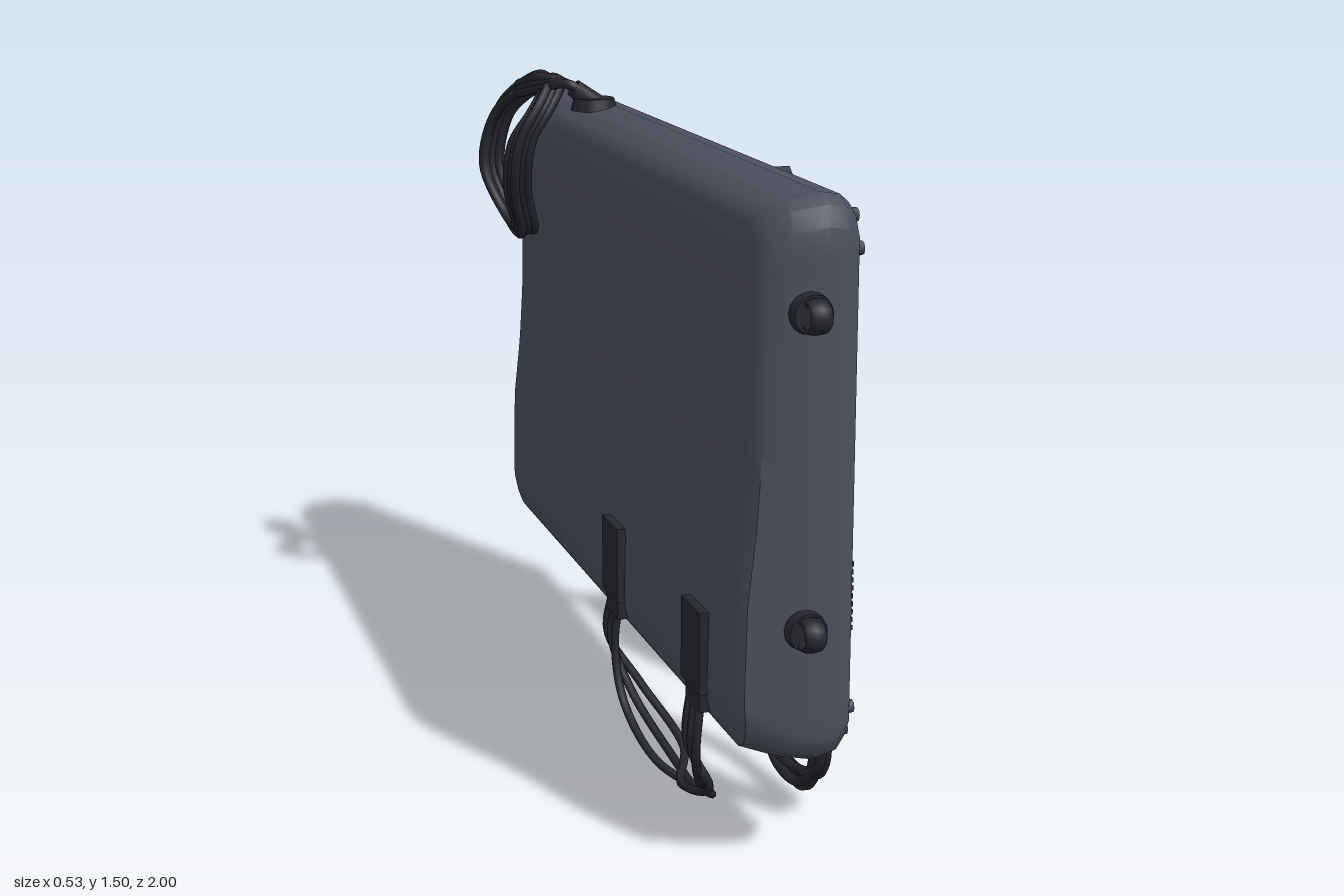
import * as THREE from 'three';
import { toCreasedNormals } from 'three/addons/utils/BufferGeometryUtils.js';

const mat = (name, color, side = THREE.FrontSide) => {
  const m = new THREE.MeshStandardMaterial({ color, side });
  m.name = name;
  return m;
};

export function createModel() {
  const slate = mat('slate casing', 0x4c4f5c), plateGrey = mat('dark slate', 0x41434f);
  const black = mat('black rubber', 0x25262d), teal = mat('teal glass', 0x6ec9d0);
  const cream = mat('cream glass', 0xccc6ba), red = mat('red button', 0xb04a4e);

  // Everything is authored facing +z (u right, y up, d forward), then turned to face +x.
  const wall = new THREE.Group();
  wall.name = 'screenWall';
  wall.rotation.y = Math.PI / 2;

  const add = (name, geo, material, u = 0, y = 0, d = 0, parent = wall) => {
    const m = new THREE.Mesh(geo, material);
    m.name = name;
    m.position.set(u, y, d);
    parent.add(m);
    return m;
  };
  const box = (name, w, h, t, material, u, y, d, tilt = 0) => {
    const m = add(name, new THREE.BoxGeometry(w, h, t), material, u, y, d);
    m.rotation.z = tilt;
    return m;
  };
  const knob = (name, r, t, material, u, y, d, sides = 16) => {
    const m = add(name, new THREE.CylinderGeometry(r * 0.88, r, t, sides), material, u, y, d);
    m.rotation.x = Math.PI / 2;
    return m;
  };
  const tube = (name, pts, r, closed = false) => {
    const curve = new THREE.CatmullRomCurve3(pts.map(p => new THREE.Vector3(...p)), closed);
    return add(name, new THREE.TubeGeometry(curve, 56, r, 7, closed), black);
  };

  // Casing: rounded outline rings lofted from the recessed front plate to the bulging back
  const W = 0.94, Y0 = 0.247, Y1 = 1.422;
  const backProfile = [[0.2, -0.15], [0.38, -0.168], [0.6, -0.163], [0.75, -0.146], [0.9, -0.136], [1.2, -0.131], [1.5, -0.117]];
  const backAt = y => {
    const i = Math.max(1, backProfile.findIndex(p => p[0] >= y));
    const [a, b] = [backProfile[i - 1], backProfile[i]];
    return a[1] + (b[1] - a[1]) * (y - a[0]) / (b[0] - a[0]);
  };
  const rows = 24;
  const ring = (inset, depth) => {
    const h = Y1 - Y0 - 2 * inset, side = [];
    for (let j = 0; j < rows; j++) {
      const k = Math.min(j, rows - 1 - j);
      const edge = [0, 0.02, 0.06][k];
      const s = edge !== undefined ? (j < 3 ? edge : h - edge) : 0.06 + (h - 0.12) * (j - 2) / (rows - 5);
      const y = Y0 + inset + s, w = W - inset - ([0.06, 0.022, 0][k] ?? 0);
      side.push([w, y, typeof depth === 'function' ? depth(y) : depth]);
    }
    return [...side, ...side.map(p => [-p[0], p[1], p[2]]).reverse()];
  };
  const rings = [
    ring(0.075, 0.05), ring(0.062, 0.082), ring(0.028, 0.082), ring(0.008, 0.055), ring(0, 0.01),
    ring(0.012, -0.06), ring(0.035, y => backAt(y) + 0.025), ring(0.065, y => backAt(y) + 0.006), ring(0.12, backAt),
  ];
  const M = rows * 2, index = [], last = (rings.length - 1) * M;
  for (let k = 0; k < rings.length - 1; k++) for (let i = 0; i < M; i++) {
    const a = k * M + i, b = k * M + (i + 1) % M;
    index.push(a, a + M, b, b, a + M, b + M);
  }
  for (let j = 0; j < rows - 1; j++) {
    const L = M - 1 - j;
    index.push(L, j, j + 1, L, j + 1, L - 1);
    index.push(last + L, last + j + 1, last + j, last + L, last + L - 1, last + j + 1);
  }
  const shell = new THREE.BufferGeometry();
  shell.setAttribute('position', new THREE.Float32BufferAttribute(rings.flat(2), 3));
  shell.setIndex(index);
  add('casing', toCreasedNormals(shell, 0.6), slate);

  // Ten screens in rounded, bevelled frames
  const roundRect = (target, w, h, r) => {
    const x = w / 2, y = h / 2, q = Math.PI / 2;
    target.absarc(x - r, y - r, r, 0, q);
    target.absarc(-x + r, y - r, r, q, 2 * q);
    target.absarc(-x + r, -y + r, r, 2 * q, 3 * q);
    target.absarc(x - r, -y + r, r, 3 * q, 4 * q);
    target.closePath();
    return target;
  };
  const frameShape = roundRect(new THREE.Shape(), 0.274, 0.3, 0.025);
  frameShape.holes.push(roundRect(new THREE.Path(), 0.256, 0.28, 0.018));
  const frameGeo = new THREE.ExtrudeGeometry(frameShape, {
    depth: 0.05, bevelThickness: 0.01, bevelSize: 0.008, bevelSegments: 2, curveSegments: 4,
  });
  const creams = ['2,0', '0,1', '3,1'];
  for (let r = 0; r < 2; r++) for (let c = 0; c < 5; c++) {
    const u = (c - 2) * 0.3235, y = r ? 0.702 : 1.092;
    add('screenFrame', frameGeo, plateGrey, u, y, 0.045);
    box('screen', 0.25, 0.274, 0.008, creams.includes(`${c},${r}`) ? cream : teal, u, y, 0.088);
    box('screenBacking', 0.27, 0.29, 0.04, plateGrey, u, y, 0.062);
  }

  // Clips and struts between the screens
  for (let c = 0; c < 5; c++) {
    const u = (c - 2) * 0.3235, big = c === 2;
    box('joiner', 0.075, 0.075, 0.03, plateGrey, u, 0.897, 0.06);
    box('joinerClip', big ? 0.055 : 0.025, big ? 0.045 : 0.025, 0.02, black, u, 0.897, 0.08);
    if (c < 4) for (const y of [1.11, 0.7]) box('sideJoiner', 0.035, 0.03, 0.025, black, u + 0.162, y, 0.06);
    box('strut', 0.03, 0.05, 0.02, plateGrey, u, 1.27, 0.055);
    box('lowerClip', 0.03, 0.03, 0.03, black, u, 0.53, 0.065);
  }

  // Raised trims, panel seams and ribs on the front plate
  for (const s of [-1, 1]) {
    box('sideTrim', 0.014, 0.62, 0.02, plateGrey, s * 0.835, 0.9, 0.055);
    box('cornerTrim', 0.014, 0.17, 0.02, plateGrey, s * 0.81, 1.2, 0.055);
    box('upperTrim', 0.55, 0.014, 0.02, plateGrey, s * 0.52, 1.31, 0.055);
    box('lowerTrim', 0.62, 0.02, 0.025, plateGrey, s * 0.45, 0.385, 0.057);
    box('footTrim', 0.6, 0.012, 0.02, plateGrey, s * 0.48, 0.35, 0.055);
    box('diagonalTrim', 0.17, 0.014, 0.02, plateGrey, s * 0.79, 0.43, 0.055, s * 0.8);
    box('seam', 0.008, 0.15, 0.012, black, s * 0.2, 0.465, 0.052);
    box('seam', 0.16, 0.01, 0.012, black, s * 0.7, 1.335, 0.052);
    box('latch', 0.075, 0.024, 0.035, black, s * 0.505, 1.375, 0.085, s < 0 ? 0.7 : 0.2);
    box('plateHook', 0.03, 0.03, 0.03, black, s * 0.325, 1.28, 0.06);
    for (let i = 0; i < 9; i++) box('sideVent', 0.028, 0.01, 0.022, black, s * 0.882, 0.53 + i * 0.017, 0.081);
    for (let i = 0; i < 3; i++) box('vent', 0.07 - i * 0.015, 0.008, 0.014, black, s * 0.8, 0.99 + i * 0.025, 0.053);
    for (const y of [0.3, 0.36, 1.31, 1.37]) knob('rimBolt', 0.016, 0.02, plateGrey, s * (y < 0.32 || y > 1.35 ? 0.865 : 0.895), y, 0.085, 8);
    for (const u of [0.12, 0.25, 0.7]) for (const y of [0.272, 1.372]) knob('rimScrew', 0.011, 0.016, black, s * u, y, 0.085, 8);
    for (const y of [0.32, 1.25]) knob('plateScrew', 0.012, 0.02, black, s * 0.81, y, 0.055, 8);
  }

  // Strap loops on both ends
  for (const s of [-1, 1]) for (const y of [0.552, 1.197]) {
    const base = add('loopBase', new THREE.CylinderGeometry(0.04, 0.044, 0.025, 16), black, s * 0.94, y, -0.025);
    base.rotation.z = -s * Math.PI / 2;
    add('strapLoop', new THREE.TorusGeometry(0.027, 0.009, 8, 20), black, s * 0.964, y, -0.025).scale.z = 2.6;
  }

  // Coiled cable hung over the top edge, with its plug
  add('coilSocket', new THREE.CylinderGeometry(0.05, 0.058, 0.03, 18), black, 0.5, 1.425, -0.035);
  const plug = add('coilPlug', new THREE.CylinderGeometry(0.022, 0.028, 0.07, 12), black, 0.5, 1.445, -0.06);
  plug.rotation.x = -0.9;
  const coil = [[0.51, 1.42, -0.165], [0.56, 1.475, -0.125], [0.65, 1.475, -0.14], [0.77, 1.39, -0.2], [0.8, 1.24, -0.228],
    [0.73, 1.1, -0.185], [0.62, 1.095, -0.185], [0.54, 1.22, -0.222], [0.505, 1.34, -0.215]];
  for (let i = 0; i < 7; i++) {
    const k = 0.86 + 0.045 * (i % 4), off = ((i * 3) % 7 - 3) * 0.008;
    tube('coilStrand', coil.map(([u, y, d]) => [0.65 + (u - 0.65) * k, 1.28 + (y - 1.28) * (k + 0.04), d + off]), 0.012, true);
  }
  for (const i of [-1, 0, 1]) {
    tube('coilLead', [[0.5 + i * 0.012, 1.44, -0.045], [0.51 + i * 0.014, 1.475, -0.1], [0.56, 1.475 + i * 0.012, -0.15], [0.66, 1.45 + i * 0.012, -0.185]], 0.012);
  }

  // Cable bundle hanging between two lower screens
  for (let i = 0; i < 4; i++) {
    const o = (i - 1.5) * 0.022, drop = i * 0.016, d = 0.095 + (i % 2) * 0.02;
    tube('frontCable', [[-0.66 + o, 0.56, d - 0.01], [-0.663 + o, 0.4, d], [-0.685 + o, 0.25, d + 0.008], [-0.66 + o, 0.135 - drop, d + 0.012],
      [-0.57, 0.085 - drop, d + 0.005], [-0.44 - o, 0.1 - drop, d], [-0.36 - o, 0.2, d + 0.01], [-0.325 - o, 0.38, d], [-0.325 - o, 0.56, d - 0.01]], 0.012);
  }
  for (const u of [-0.66, -0.325, 0.64]) box('cablePlug', 0.09, 0.035, 0.04, black, u, 0.535, 0.085);
  // Controller lead
  for (let i = 0; i < 3; i++) {
    const u = 0.62 + i * 0.022;
    tube('controllerCable', [[u, 0.55, 0.09], [u, 0.42, 0.1], [u, 0.3, 0.115], [u - 0.05, 0.2, 0.15]], 0.011);
  }

  // Back sockets and the cables slung beneath the casing
  for (const u of [-0.69, -0.11]) {
    box('backSocket', 0.12, 0.18, 0.04, black, u, 0.45, -0.165);
    box('socketCollar', 0.09, 0.06, 0.035, black, u, 0.345, -0.162);
  }
  for (let i = 0; i < 3; i++) {
    const o = (i - 1) * 0.03, bottom = 0.014 + i * 0.018;
    tube('backCable', [[-0.1 + o, 0.36, -0.165], [-0.085 + o, 0.25, -0.175], [-0.16, 0.12 + i * 0.02, -0.17 + i * 0.02], [-0.33, bottom + 0.015, -0.14 + i * 0.03],
      [-0.5, bottom, -0.07 - i * 0.035], [-0.63 - o, 0.09 + i * 0.01, -0.13], [-0.68 + o, 0.22, -0.178], [-0.68 + o, 0.36, -0.165]], 0.01);
  }

  // Game controller: smooth two-grip body with sticks, pad and buttons
  const pad = new THREE.Group();
  pad.name = 'controller';
  pad.position.set(0.43, 0, 0);
  wall.add(pad);
  const half = [[0.06, 0.312], [0.11, 0.325], [0.155, 0.338], [0.2, 0.32], [0.228, 0.24], [0.255, 0.14], [0.266, 0.06],
    [0.25, 0.015], [0.21, 0.014], [0.18, 0.06], [0.145, 0.118], [0.09, 0.132]];
  const outline = [...half, ...half.map(([u, y]) => [-u, y]).reverse()].map(p => new THREE.Vector2(...p));
  const loop = new THREE.CatmullRomCurve3(outline.map(p => new THREE.Vector3(p.x, p.y, 0)), true).getPoints(72).slice(0, -1);
  const padGeo = new THREE.ExtrudeGeometry(new THREE.Shape(loop.map(p => new THREE.Vector2(p.x, p.y))), {
    depth: 0.036, bevelThickness: 0.03, bevelSize: 0.026, bevelOffset: -0.026, bevelSegments: 5,
  });
  add('controllerBody', toCreasedNormals(padGeo, 0.9), slate, 0, 0, 0.155, pad);
  const onPad = (name, r, t, material, u, y, d) => pad.add(knob(name, r, t, material, u, y, d));
  for (const s of [-1, 1]) {
    onPad('stickBase', 0.042, 0.02, plateGrey, s * 0.073, 0.175, 0.225);
    onPad('stickStem', 0.018, 0.03, black, s * 0.073, 0.175, 0.24);
    onPad('stickCap', 0.033, 0.014, black, s * 0.073, 0.175, 0.258);
    onPad('buttonDish', 0.055, 0.01, plateGrey, s * 0.152, 0.25, 0.222);
    add('shoulderButton', new THREE.BoxGeometry(0.085, 0.03, 0.05), black, s * 0.152, 0.318, 0.168, pad);
  }
  add('directionPad', new THREE.BoxGeometry(0.085, 0.028, 0.03), black, -0.152, 0.25, 0.232, pad);
  add('directionPad', new THREE.BoxGeometry(0.028, 0.085, 0.03), black, -0.152, 0.25, 0.232, pad);
  [[-1, 0, teal], [1, 0, red], [0, 1, black], [0, -1, cream]].forEach(([a, b, m]) =>
    onPad('faceButton', 0.016, 0.03, m, 0.152 + a * 0.034, 0.25 + b * 0.034, 0.235));

  const model = new THREE.Group();
  model.name = 'screenWallWithController';
  model.add(wall);
  return model;
}
